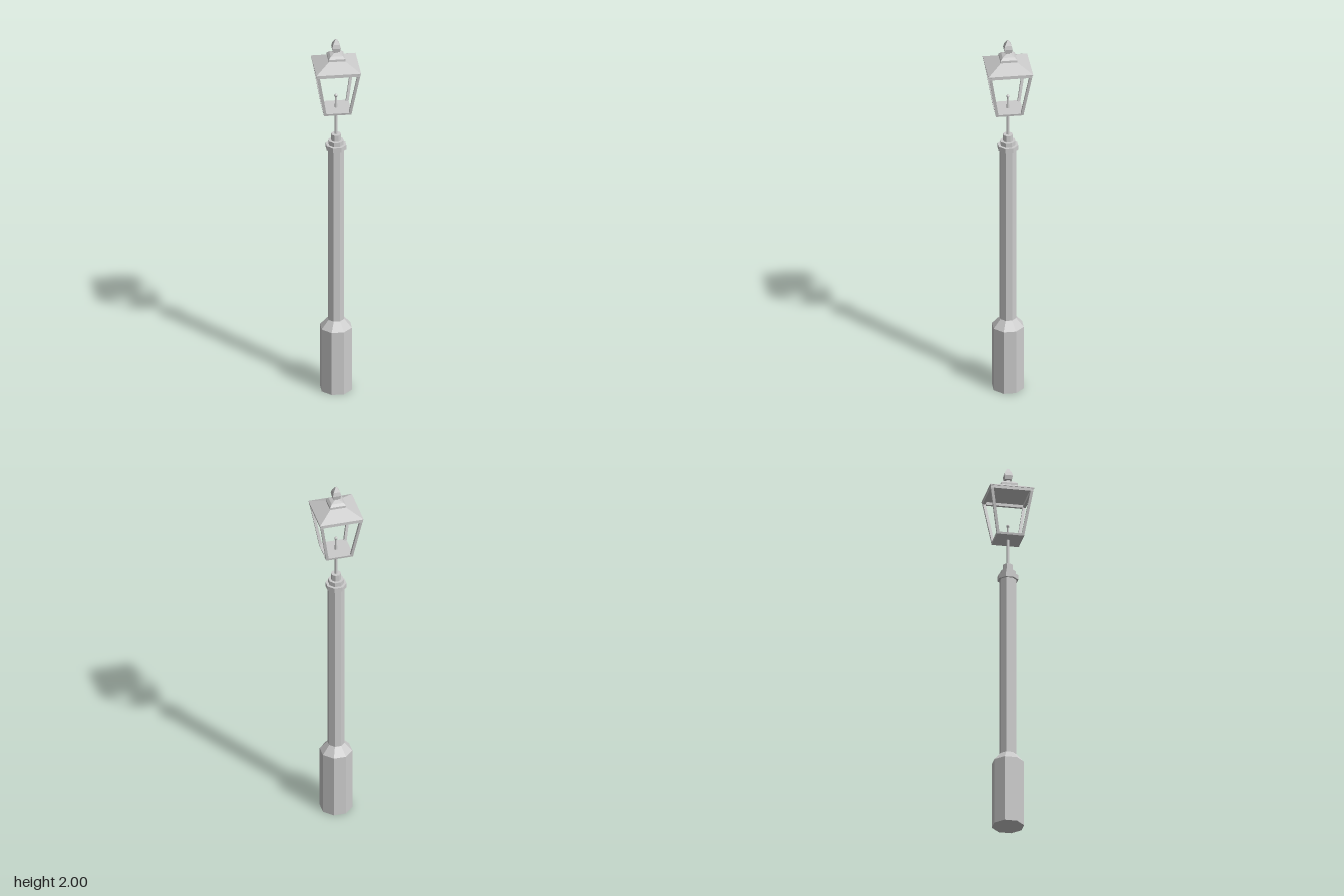
import * as THREE from 'three';

const material = new THREE.MeshStandardMaterial({ color: 0xcccccc, flatShading: true });

export function createModel() {
  const lamp = new THREE.Group();
  lamp.name = 'streetLamp';

  function add(name, geometry, parent = lamp) {
    const mesh = new THREE.Mesh(geometry, material);
    mesh.name = name;
    parent.add(mesh);
    return mesh;
  }

  // Faceted solid from [halfWidth, y] pairs, one flat side facing the front
  function prism(name, sides, profile, parent = lamp) {
    const k = 1 / Math.cos(Math.PI / sides);
    const points = profile.map(([r, y]) => new THREE.Vector2(r * k, y));
    return add(name, new THREE.LatheGeometry(points, sides, Math.PI / sides), parent);
  }

  // Octagonal column
  prism('base', 8, [[0, 0], [0.077, 0], [0.077, 0.355], [0.04, 0.4], [0, 0.4]]);
  prism('shaft', 8, [[0, 0.4], [0.04, 0.4], [0.04, 1.375], [0, 1.375]]);
  prism('collar', 8, [
    [0, 1.375], [0.05, 1.375], [0.05, 1.4], [0.037, 1.4], [0.037, 1.424],
    [0.024, 1.424], [0.024, 1.46], [0, 1.46],
  ]);
  prism('stem', 8, [[0, 1.46], [0.007, 1.46], [0.007, 1.605], [0, 1.605]]);

  // Lantern frame, widening upwards
  const lantern = new THREE.Group();
  lantern.name = 'lantern';
  lamp.add(lantern);
  const y0 = 1.6, y1 = 1.85, bottom = 0.07, top = 0.112, bar = 0.014;
  prism('lanternFloor', 4, [[0, y0], [bottom, y0], [bottom + 0.002, y0 + 0.011], [0, y0 + 0.011]], lantern);

  for (const sx of [-1, 1]) for (const sz of [-1, 1]) {
    // Box sheared to lean outwards along the corner
    const post = new THREE.BoxGeometry(bar, y1 - y0, bar);
    const p = post.attributes.position;
    for (let i = 0; i < p.count; i++) {
      const c = (p.getY(i) > 0 ? top : bottom) - bar / 2;
      p.setXYZ(i, p.getX(i) + sx * c, p.getY(i) + (y0 + y1) / 2, p.getZ(i) + sz * c);
    }
    post.computeVertexNormals();
    add('cornerPost', post, lantern);
  }

  for (let i = 0; i < 4; i++) {
    const rail = new THREE.BoxGeometry(2 * top - 0.006, 0.015, bar);
    rail.translate(0, y1 - 0.0075, top - bar / 2 - 0.001);
    add('topRail', rail, lantern).rotation.y = i * Math.PI / 2;
  }

  // Burner inside the lantern
  prism('burnerTube', 8, [[0, 1.61], [0.007, 1.61], [0.004, 1.675], [0, 1.675]], lantern);
  add('burnerTip', new THREE.SphereGeometry(0.009, 8, 6), lantern).position.y = 1.678;

  // Square roof, stepped vent and finial
  prism('roof', 4, [[0, 1.85], [0.114, 1.85], [0.114, 1.854], [0.042, 1.892], [0, 1.892]], lantern);
  prism('vent', 4, [
    [0, 1.89], [0.042, 1.89], [0.042, 1.904], [0.031, 1.916], [0.022, 1.92],
    [0.01, 1.925], [0, 1.925],
  ], lantern);
  prism('finial', 4, [
    [0, 1.92], [0.01, 1.92], [0.01, 1.932], [0.018, 1.934], [0.022, 1.955],
    [0.017, 1.975], [0.004, 1.998], [0, 2],
  ], lantern);

  return lamp;
}
